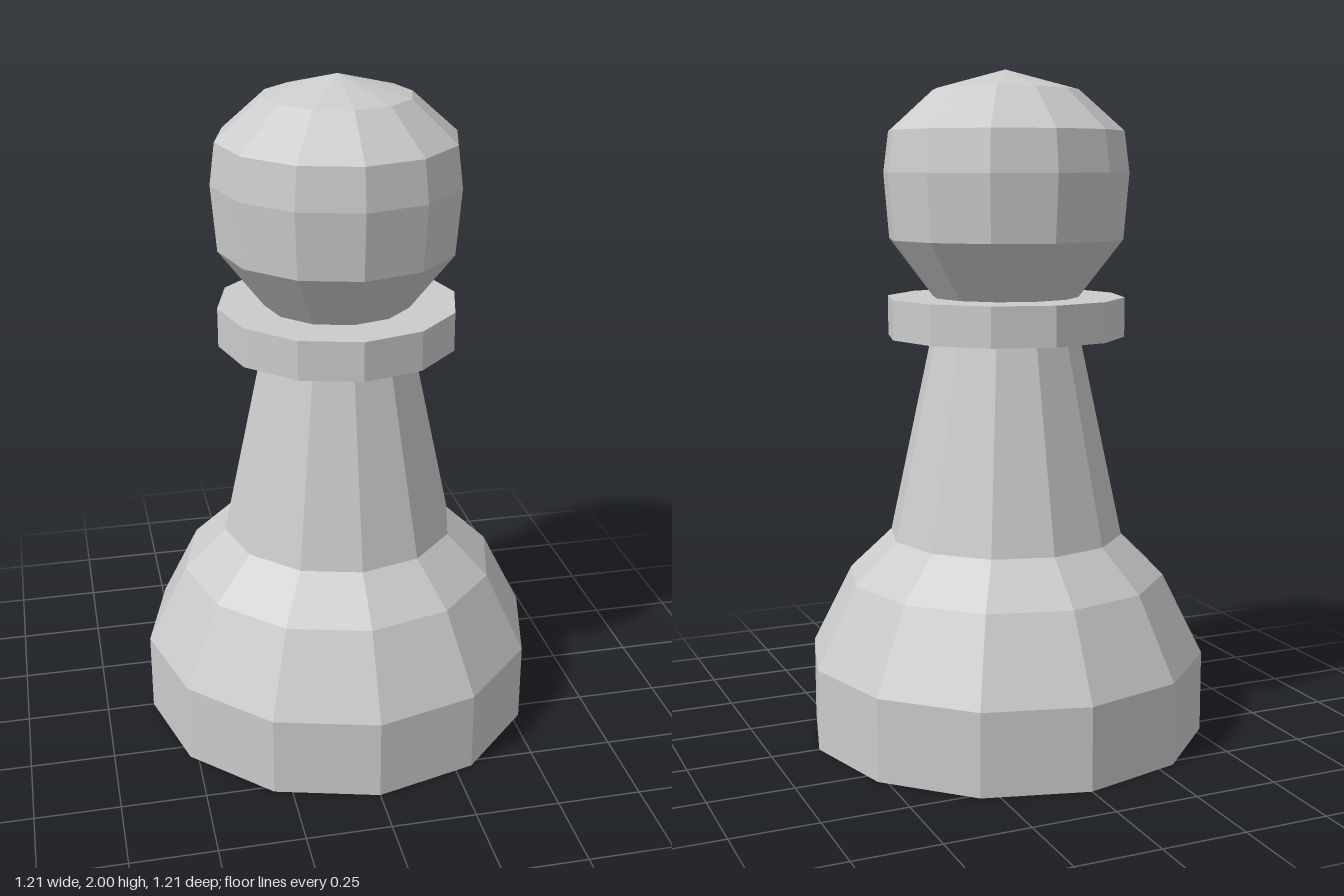
import * as THREE from 'three';

const SIDES = 12;

export function createModel() {
  const group = new THREE.Group();
  const material = new THREE.MeshStandardMaterial({ color: 0xcccccc, flatShading: true });

  // Turned part from a bottom-to-top profile of [radius, height]
  const turned = (name, profile) => {
    const points = profile.map(([r, y]) => new THREE.Vector2(r, y));
    const mesh = new THREE.Mesh(new THREE.LatheGeometry(points, SIDES), material);
    mesh.name = name;
    group.add(mesh);
  };

  // Wide foot with a stepped shoulder, tapering into the stem
  turned('baseAndStem', [
    [0, 0], [0.605, 0], [0.605, 0.245], [0.483, 0.487], [0.355, 0.61], [0.225, 1.215],
  ]);

  // Flat ring below the head
  turned('collar', [[0, 1.215], [0.358, 1.215], [0.358, 1.333], [0, 1.333]]);

  // Faceted ball with a shallow pointed cap
  turned('head', [
    [0.22, 1.333], [0.352, 1.505], [0.368, 1.7], [0.352, 1.822], [0.217, 1.942], [0, 2],
  ]);

  return group;
}
